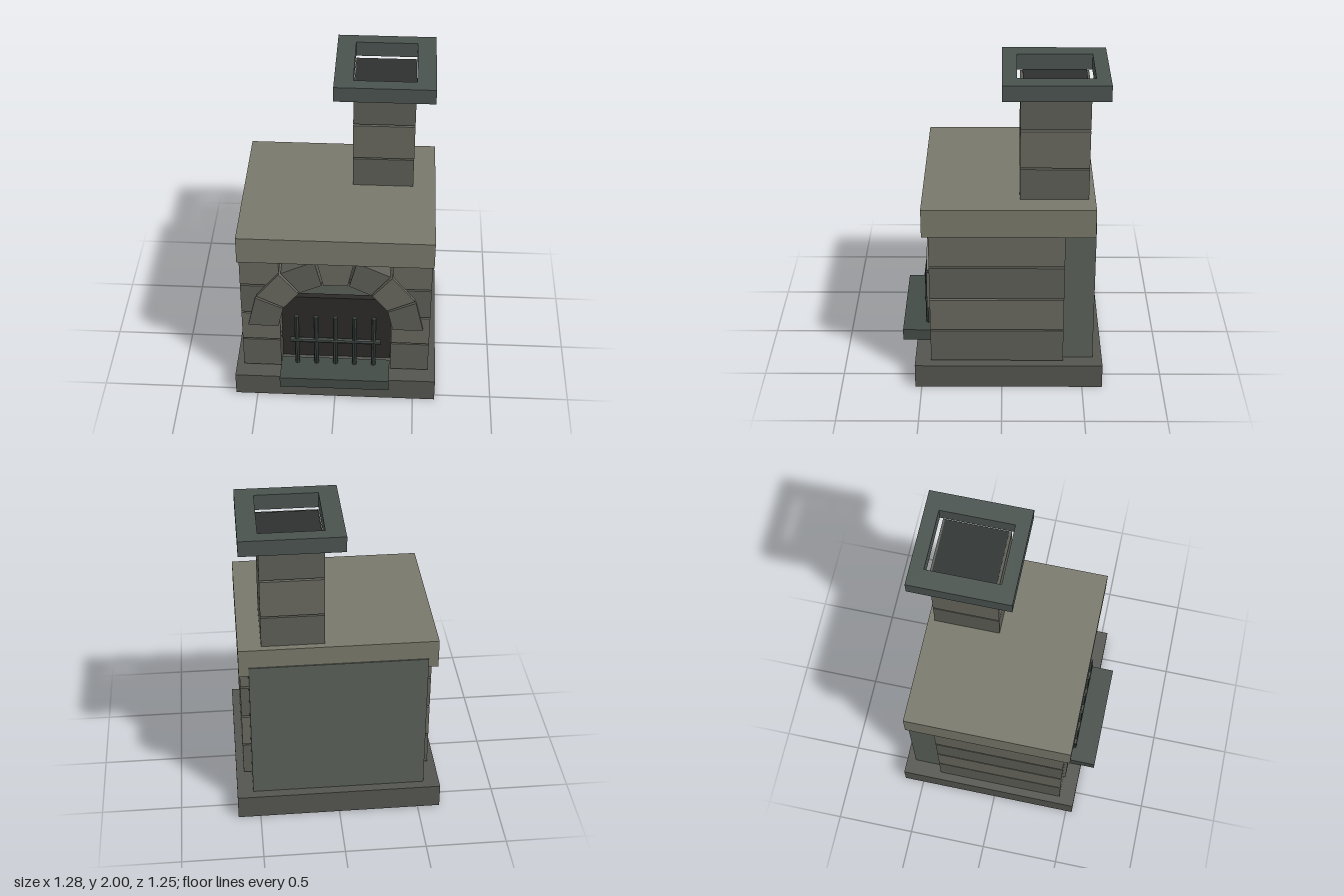
import * as THREE from 'three';

const mat = (color) => new THREE.MeshStandardMaterial({ color, flatShading: true });
const M = {
  base: mat(0x54554f), slab: mat(0x78786b), stoneA: mat(0x5e5e57), stoneB: mat(0x68685f),
  panel: mat(0x5a6059), iron: mat(0x4a534f), hearth: mat(0x434b46), soot: mat(0x2c2a28),
  flue: mat(0x2d312f), bar: mat(0x38413d),
};

export function createModel() {
  const root = new THREE.Group();
  root.name = 'fireplace';

  const add = (name, geometry, material, parent = root) => {
    const mesh = new THREE.Mesh(geometry, material);
    mesh.name = name;
    parent.add(mesh);
    return mesh;
  };
  // Box given by its limits on each axis
  const box = (name, material, [x0, x1], [y0, y1], [z0, z1], parent) => {
    const g = new THREE.BoxGeometry(x1 - x0, y1 - y0, z1 - z0);
    g.translate((x0 + x1) / 2, (y0 + y1) / 2, (z0 + z1) / 2);
    return add(name, g, material, parent);
  };
  const group = (name) => {
    const g = new THREE.Group();
    g.name = name;
    root.add(g);
    return g;
  };

  // Plinth, hearth, rear body, fire back and mantel slab
  box('base', M.base, [-0.64, 0.64], [0, 0.155], [-0.625, 0.54]);
  box('hearth', M.hearth, [-0.345, 0.345], [0.155, 0.23], [0.43, 0.63]);
  box('rearBody', M.panel, [-0.54, 0.54], [0.155, 1.1], [-0.567, -0.14]);
  box('fireBack', M.soot, [-0.349, 0.349], [0.155, 0.65], [0.29, 0.33]);
  box('mantelSlab', M.slab, [-0.6, 0.6], [1.04, 1.222], [-0.56, 0.48]);

  // Stone courses of the two side walls
  const courses = [[0.165, 0.38], [0.39, 0.6], [0.612, 0.823], [0.835, 1.04]];
  for (const side of [-1, 1]) {
    const wall = group(side > 0 ? 'leftWall' : 'rightWall');
    courses.forEach((y, i) => {
      const x = side > 0 ? [0.35, 0.592] : [-0.592, -0.35];
      box('wallStone', i % 2 ? M.stoneB : M.stoneA, x, y, [-0.38, 0.44], wall);
    });
  }

  // Arch of seven wedge stones
  const arch = group('arch');
  const count = 7, step = Math.PI / count, gap = 0.015, rIn = 0.36, rOut = 0.55;
  for (let i = 0; i < count; i++) {
    const a = i * step + gap, b = (i + 1) * step - gap;
    const corner = (r, t) => new THREE.Vector2(r * Math.cos(t), 0.51 + r * Math.sin(t));
    const shape = new THREE.Shape([corner(rIn, a), corner(rOut, a), corner(rOut, b), corner(rIn, b)]);
    const g = new THREE.ExtrudeGeometry(shape, { depth: 0.27, bevelEnabled: false });
    g.translate(0, 0, 0.19);
    add('archStone', g, i % 2 ? M.stoneB : M.stoneA, arch);
  }

  // Iron grate
  const grate = group('grate');
  for (let i = -2; i <= 2; i++) {
    const g = new THREE.CylinderGeometry(0.015, 0.015, 0.39, 8);
    g.translate(i * 0.121, 0.42, 0.472);
    add('uprightBar', g, M.bar, grate);
  }
  const rail = new THREE.CylinderGeometry(0.017, 0.017, 0.57, 8);
  rail.rotateZ(Math.PI / 2).translate(0, 0.42, 0.472);
  add('crossBar', rail, M.bar, grate);

  // Chimney stack with open joints
  const chimney = group('chimney');
  [[1.222, 1.42], [1.43, 1.665], [1.677, 1.9]].forEach((y, i) =>
    box('chimneyStone', i % 2 ? M.stoneB : M.stoneA, [0.08, 0.46], y, [-0.52, -0.107], chimney));
  box('flueMouth', M.flue, [0.085, 0.456], [1.85, 1.904], [-0.507, -0.123], chimney);

  // Square cap ring
  const cap = new THREE.Shape();
  cap.moveTo(-0.036, 0).lineTo(0.576, 0).lineTo(0.576, 0.625).lineTo(-0.036, 0.625).closePath();
  const hole = new THREE.Path();
  hole.moveTo(0.079, 0.087).lineTo(0.079, 0.54).lineTo(0.461, 0.54).lineTo(0.461, 0.087).closePath();
  cap.holes.push(hole);
  const capGeo = new THREE.ExtrudeGeometry(cap, { depth: 0.097, bevelEnabled: false });
  capGeo.rotateX(-Math.PI / 2).translate(0, 1.903, 0);
  add('chimneyCap', capGeo, M.iron, chimney);

  return root;
}
